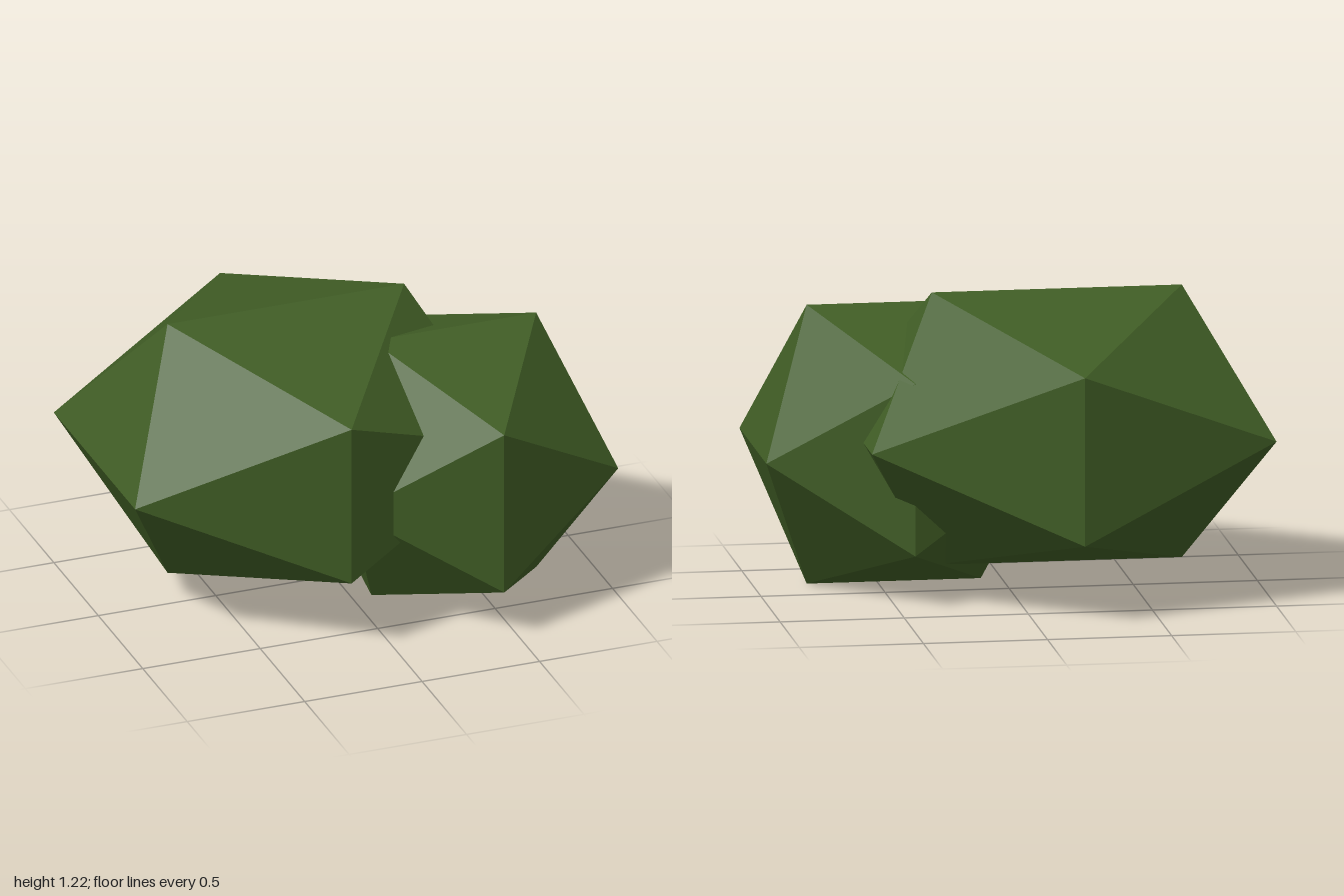
import * as THREE from 'three';

// One faceted foliage clump: an icosahedron stretched along its axes
function clump(name, radii, centre, material) {
  const geometry = new THREE.IcosahedronGeometry(1, 0);
  geometry.scale(...radii);
  geometry.computeVertexNormals();
  const mesh = new THREE.Mesh(geometry, material);
  mesh.name = name;
  mesh.position.set(...centre);
  return mesh;
}

export function createModel() {
  const leaf = new THREE.MeshStandardMaterial({ color: 0x405d25 });
  leaf.name = 'leaf green';
  leaf.flatShading = true;

  const bush = new THREE.Group();
  bush.name = 'bush';
  bush.add(
    clump('largeClump', [0.958, 0.652, 0.87], [-0.185, 0.67, -0.044], leaf),
    clump('smallClump', [0.667, 0.667, 0.667], [0.432, 0.568, 0.215], leaf),
  );
  return bush;
}
